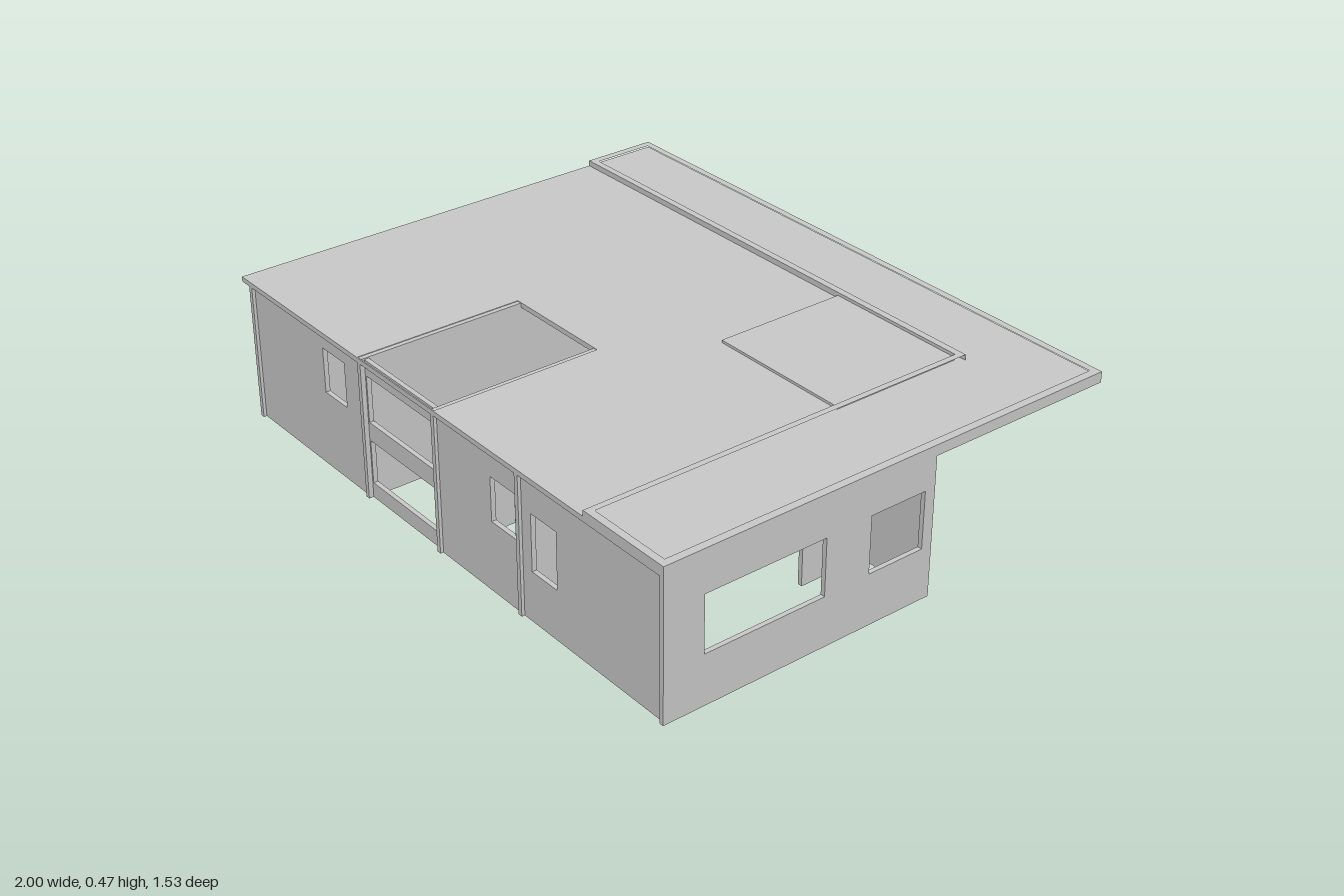
import * as THREE from 'three';

const T = 0.015;      // wall thickness
const CEIL = 0.44;    // underside of the roof
const material = new THREE.MeshStandardMaterial({ color: 0xcccccc, flatShading: true });

function rect(Type, u0, u1, v0, v1) {
  const p = new Type();
  p.moveTo(u0, v0);
  p.lineTo(u1, v0);
  p.lineTo(u1, v1);
  p.lineTo(u0, v1);
  p.closePath();
  return p;
}

// Rectangular slab drawn in (u, v), with rectangular holes [u0, u1, v0, v1]
function slab(u0, u1, v0, v1, depth, holes = []) {
  const shape = rect(THREE.Shape, u0, u1, v0, v1);
  holes.forEach(h => shape.holes.push(rect(THREE.Path, ...h)));
  return new THREE.ExtrudeGeometry(shape, { depth, bevelEnabled: false });
}

export function createModel() {
  const house = new THREE.Group();
  house.name = 'house';

  function add(name, geometry) {
    const mesh = new THREE.Mesh(geometry, material);
    mesh.name = name;
    house.add(mesh);
    return mesh;
  }

  // Wall running along x, its back face at z
  function wallX(name, x0, x1, z, holes = [], y0 = 0, y1 = CEIL) {
    add(name, slab(x0, x1, y0, y1, T, holes)).position.z = z;
  }

  // Wall running along z, its right-hand face at x
  function wallZ(name, z0, z1, x, holes = [], y0 = 0, y1 = CEIL) {
    const mesh = add(name, slab(z0, z1, y0, y1, T, holes));
    mesh.rotation.y = -Math.PI / 2;
    mesh.position.x = x + T;
  }

  function box(name, x0, x1, y0, y1, z0, z1) {
    const g = new THREE.BoxGeometry(x1 - x0, y1 - y0, z1 - z0);
    add(name, g).position.set((x0 + x1) / 2, (y0 + y1) / 2, (z0 + z1) / 2);
  }

  // Front panels, set back between the projecting ends of the cross walls
  wallX('frontPanelRight', -0.945, -0.365, 0.74, [[-0.57, -0.455, 0.25, 0.395]]);
  wallX('frontPanelMiddle', 0.015, 0.385, 0.74, [[0.26, 0.37, 0.225, 0.365]]);
  wallX('frontPanelLeft', 0.4, 0.985, 0.74, [[0.44, 0.55, 0.16, 0.34]]);
  wallX('courtyardFrame', -0.35, 0, 0.735,
    [[-0.345, -0.015, 0.05, 0.19], [-0.345, -0.015, 0.25, 0.4]], 0, 0.45);

  // Outer side walls
  wallZ('rightOuterWall', -0.755, 0.765, -0.96,
    [[-0.41, -0.315, 0.165, 0.36], [0.035, 0.13, 0.165, 0.36]]);
  wallZ('leftOuterWall', -0.145, 0.765, 0.985,
    [[0.235, 0.635, 0.16, 0.34], [-0.11, 0.08, 0.165, 0.345]]);

  // Back wall and the room corner with a post-free window
  wallX('backWall', -0.945, -0.365, -0.755);
  wallZ('cornerRoomWall', -0.545, -0.12, -0.155);
  for (const [part, y0, y1] of [['Sill', 0, 0.05], ['Header', 0.39, CEIL]]) {
    wallX('cornerWindowBack' + part, -0.365, -0.14, -0.755, [], y0, y1);
    wallZ('cornerWindowSide' + part, -0.74, -0.545, -0.155, [], y0, y1);
  }

  // Cross walls
  wallZ('courtyardRightWall', -0.12, 0.765, -0.365);
  wallZ('courtyardLeftWall', 0.08, 0.765, 0);
  wallZ('bedroomWall', 0.22, 0.765, 0.385);
  wallX('bedroomBackWall', 0.015, 0.385, 0.22);
  wallZ('terraceWall', -0.755, -0.11, 0.365);
  wallX('entryBackWall', 0.74, 0.985, -0.145);
  wallZ('entrySideWall', -0.13, 0.09, 0.74);
  wallX('passageHeader', -0.35, -0.155, -0.135, [], 0.26, CEIL);
  wallZ('rightRoomWall', 0.18, 0.74, -0.6);
  wallX('rightRoomBackWall', -0.585, -0.365, 0.18);

  // Roof slab with the courtyard opening; drawn in (x, -z) and laid flat
  const roof = add('roof',
    slab(-1, 1, -0.765, 0.77, 0.016, [[-0.365, 0.015, -0.765 + 0.004, -0.215]]));
  roof.rotation.x = -Math.PI / 2;
  roof.position.y = CEIL;
  // Tops of the courtyard side walls, level with the roof
  for (const x of [-0.365, 0]) box('courtyardWallTop', x, x + T, CEIL, 0.454, 0.215, 0.761);

  // Raised L-shaped band with a rim around a sunken gravel tray
  const R0 = 0.456, R1 = 0.474;
  const outline = pts => pts.map(([x, z]) => new THREE.Vector2(x, -z));
  const band = new THREE.Shape(outline(
    [[-1, -0.77], [1, -0.77], [1, 0.765], [0.68, 0.765], [0.68, -0.525], [-1, -0.525]]));
  band.holes.push(new THREE.Path(outline(
    [[-0.975, -0.747], [0.975, -0.747], [0.975, 0.742], [0.7, 0.742], [0.7, -0.547], [-0.975, -0.547]])));
  const rim = add('roofRim', new THREE.ExtrudeGeometry(band, { depth: R1 - R0, bevelEnabled: false }));
  rim.rotation.x = -Math.PI / 2;
  rim.position.y = R0;

  // Thin raised deck in the inner corner of the band
  box('roofDeck', 0.2, 0.68, R0, 0.464, -0.525, -0.085);

  return house;
}
